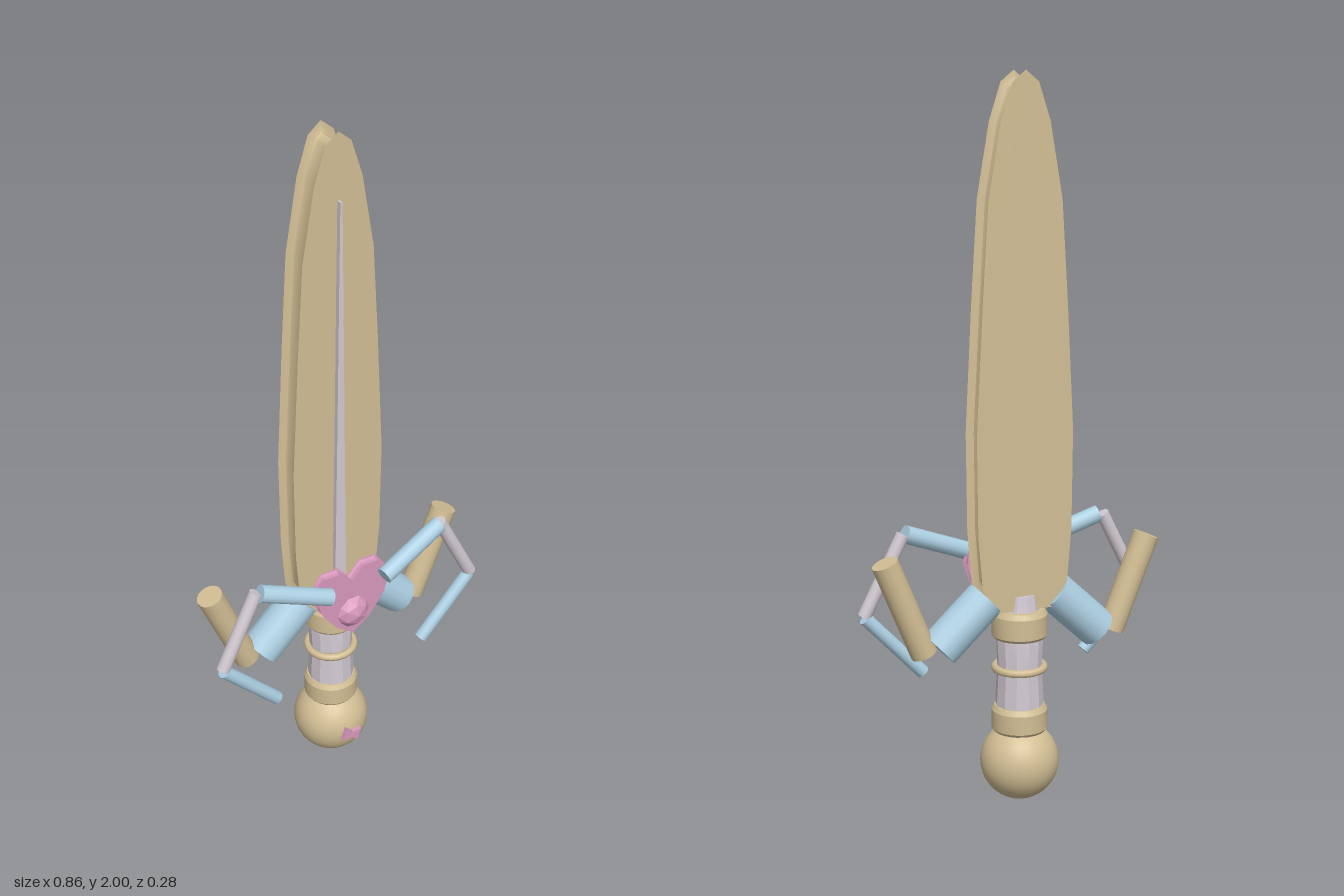
import * as THREE from 'three';
import { toCreasedNormals } from 'three/addons/utils/BufferGeometryUtils.js';

const TAN = 0xd2be94, BLUE = 0xadd0e3, PINK = 0xd898bc, SILVER = 0xd3cad2;
const AXIS_Z = -0.03; // depth of the blade and hilt axis

function add(parent, name, geometry, color, flat = false) {
  const material = new THREE.MeshStandardMaterial({ color, flatShading: flat });
  const mesh = new THREE.Mesh(geometry, material);
  mesh.name = name;
  parent.add(mesh);
  return mesh;
}

// Symmetric outline from right-hand points listed bottom to top
function mirroredShape(points) {
  const left = points.filter(([x]) => x > 0).reverse().map(([x, y]) => [-x, y]);
  return new THREE.Shape([...points, ...left].map(([x, y]) => new THREE.Vector2(x, y)));
}

// Plate whose rim is hollowed between two full-size faces
function hollowPlate(shape, z0, z1, lip, inset) {
  const g = new THREE.ExtrudeGeometry(shape, {
    depth: z1 - z0 - 2 * lip, bevelThickness: lip, bevelSize: -inset, bevelSegments: 3,
  });
  return toCreasedNormals(g.translate(0, 0, z0 + lip), 0.6);
}

// Rod between two points
function rod(parent, name, a, b, radius, color) {
  const p = new THREE.Vector3(...a), q = new THREE.Vector3(...b);
  const mesh = add(parent, name, new THREE.CylinderGeometry(radius, radius, p.distanceTo(q), 14), color);
  mesh.position.copy(p).add(q).multiplyScalar(0.5);
  mesh.quaternion.setFromUnitVectors(new THREE.Vector3(0, 1, 0), q.sub(p).normalize());
}

// Turned part around the hilt axis, profile listed bottom to top
function turned(parent, name, profile, color, sides = 24) {
  const g = new THREE.LatheGeometry(profile.map(([r, y]) => new THREE.Vector2(r, y)), sides);
  add(parent, name, toCreasedNormals(g, 0.5), color).position.z = AXIS_Z;
}

export function createModel() {
  const model = new THREE.Group();
  model.name = 'sword';

  // Blade
  const blade = mirroredShape([
    [0.085, 0.56], [0.125, 0.63], [0.137, 0.78], [0.14, 1.05], [0.122, 1.4],
    [0.105, 1.67], [0.07, 1.87], [0.037, 1.97], [0, 2],
  ]);
  add(model, 'blade', hollowPlate(blade, -0.07, 0.01, 0.012, 0.024), TAN);

  // Slim tapering rib on the front of the blade
  const rib = mirroredShape([[0.018, 0.66], [0.012, 1.1], [0.006, 1.6], [0.003, 1.82]]);
  const ribGeometry = new THREE.ExtrudeGeometry(rib, { depth: 0.02, bevelEnabled: false });
  add(model, 'bladeRib', ribGeometry.translate(0, 0, 0.004), SILVER);

  // Heart-shaped guard plate with a faceted gem
  const heart = mirroredShape([
    [0, 0.51], [0.055, 0.55], [0.1, 0.61], [0.118, 0.665], [0.113, 0.7],
    [0.09, 0.735], [0.035, 0.735], [0, 0.695],
  ]);
  add(model, 'heartGuard', hollowPlate(heart, 0.06, 0.09, 0.006, 0.008), PINK);
  const gem = add(model, 'gem', new THREE.IcosahedronGeometry(0.06, 1), PINK, true);
  gem.position.set(0, 0.587, 0.06);

  // Jointed arms, mirrored left and right
  for (const s of [1, -1]) {
    const arms = new THREE.Group();
    arms.name = s > 0 ? 'leftArms' : 'rightArms';
    model.add(arms);
    rod(arms, 'thickInnerArm', [s * 0.1, 0.595, AXIS_Z], [s * 0.237, 0.468, AXIS_Z], 0.057, BLUE);
    rod(arms, 'thickOuterArm', [s * 0.28, 0.46, AXIS_Z], [s * 0.388, 0.725, AXIS_Z], 0.037, TAN);
    rod(arms, 'thinUpperArm', [s * 0.088, 0.69, 0.112], [s * 0.292, 0.768, 0.08], 0.025, BLUE);
    rod(arms, 'thinMiddleArm', [s * 0.3, 0.77, 0.072], [s * 0.413, 0.55, 0.076], 0.019, SILVER);
    rod(arms, 'thinLowerArm', [s * 0.41, 0.545, 0.076], [s * 0.245, 0.37, 0.076], 0.019, BLUE);
  }

  // Grip
  turned(model, 'grip', [
    [0, 0.2], [0.067, 0.2], [0.067, 0.3], [0.062, 0.4], [0.067, 0.5], [0.056, 0.55], [0.05, 0.6], [0, 0.6],
  ], SILVER, 12);

  // Collars above and below the grip
  for (const [name, y0, y1] of [['upperCollar', 0.475, 0.555], ['lowerCollar', 0.205, 0.28]]) {
    turned(model, name, [
      [0.05, y0], [0.072, y0], [0.078, y0 + 0.008], [0.078, y1 - 0.014], [0.07, y1], [0.05, y1],
    ], TAN);
  }

  // Thin ring round the middle of the grip
  const ring = add(model, 'gripRing', new THREE.TorusGeometry(0.068, 0.011, 8, 24), TAN);
  ring.rotation.x = Math.PI / 2;
  ring.position.set(0, 0.387, AXIS_Z);

  // Pommel
  const pommel = add(model, 'pommel', new THREE.SphereGeometry(0.11, 32, 20), TAN);
  pommel.position.set(0, 0.115, AXIS_Z);

  // Small tilted bow on the pommel
  const bowShape = mirroredShape([[0, 0.009 - 0.018], [0.026, -0.02], [0.026, 0.02], [0, 0.009]]);
  const bowGeometry = new THREE.ExtrudeGeometry(bowShape, { depth: 0.025, bevelEnabled: false });
  const bow = add(model, 'bow', bowGeometry, PINK);
  bow.position.set(0, 0.115, 0.065);
  bow.rotation.z = -0.35;

  return model;
}
